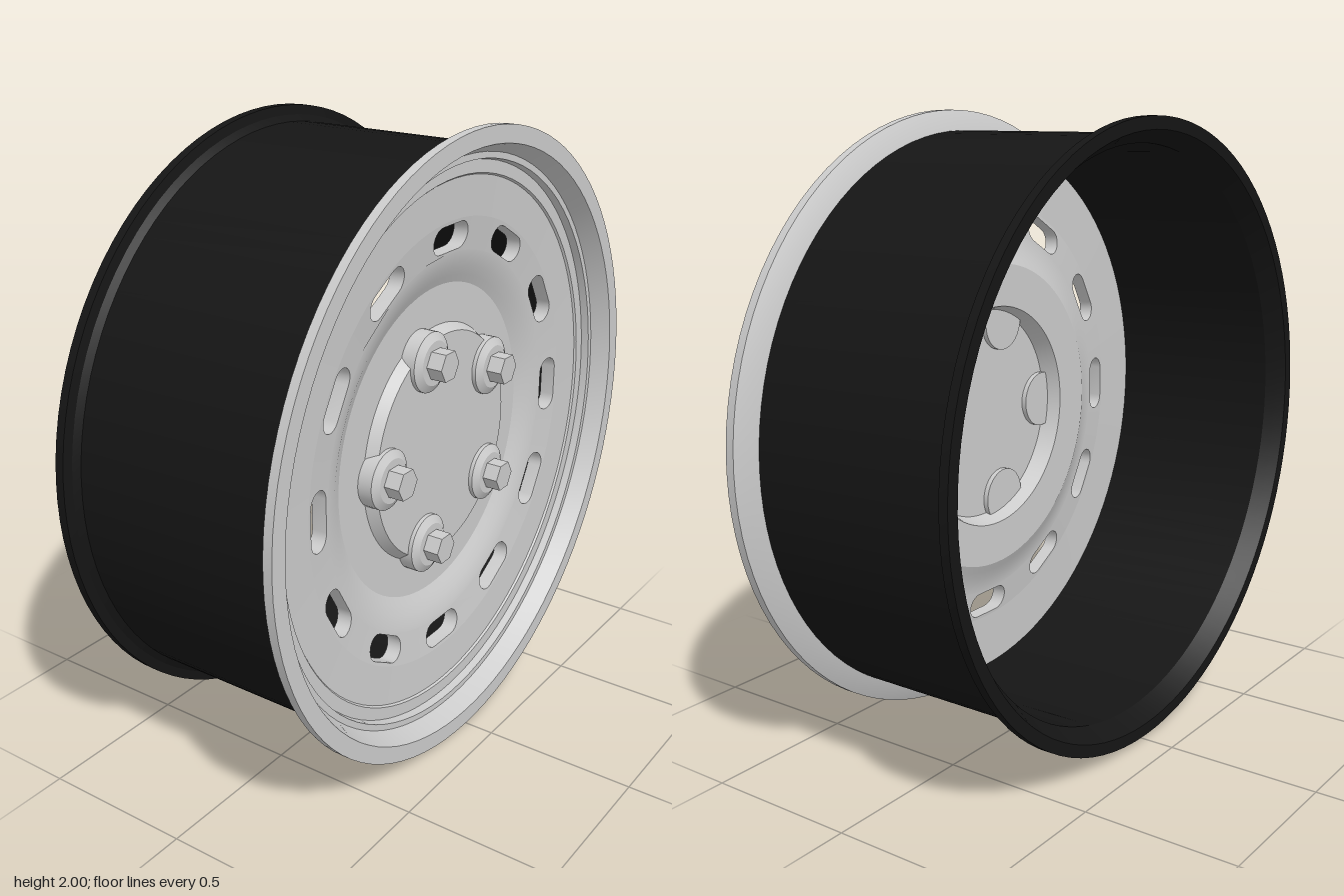
import * as THREE from 'three';
import { toCreasedNormals } from 'three/addons/utils/BufferGeometryUtils.js';

const SEG = 96;
const THICK = 0.05;
const SLOT_IN = [0.615, 0.289];   // [radius, axial] where the slotted band starts
const SLOT_OUT = [0.72, 0.303];   // and where it ends

const grey = new THREE.MeshStandardMaterial({ color: 0xcccccc });
const black = new THREE.MeshStandardMaterial({ color: 0x151515 });

// Revolve a [radius, axial] profile around the x axis; counter-clockwise faces outward
function revolve(profile, segments = SEG, crease = 0.4) {
  const pts = profile.map(([r, a]) => new THREE.Vector2(r, a));
  const geo = new THREE.LatheGeometry(pts, segments);
  geo.rotateZ(-Math.PI / 2);
  return toCreasedNormals(geo, crease);
}

function part(name, geo, mat) {
  const mesh = new THREE.Mesh(geo, mat);
  mesh.name = name;
  return mesh;
}

// Rounded slot lying along the tangent at the given angle
function slotPath(angle, radius, length, width) {
  const h = width / 2, s = length / 2 - h, pts = [];
  for (const [cx, start] of [[s, -Math.PI / 2], [-s, Math.PI / 2]]) {
    for (let i = 0; i <= 10; i++) {
      const t = start + (i / 10) * Math.PI;
      const p = new THREE.Vector2(cx + h * Math.cos(t), radius + h * Math.sin(t));
      pts.push(p.rotateAround(new THREE.Vector2(), angle));
    }
  }
  return new THREE.Path(pts);
}

// Slightly conical ring pierced by twelve slots
function slottedBand() {
  const shape = new THREE.Shape().absarc(0, 0, SLOT_OUT[0], 0, Math.PI * 2);
  shape.holes.push(new THREE.Path().absarc(0, 0, SLOT_IN[0], 0, Math.PI * 2, true));
  for (let i = 0; i < 12; i++) shape.holes.push(slotPath(i * Math.PI / 6, 0.665, 0.19, 0.085));
  const geo = toCreasedNormals(
    new THREE.ExtrudeGeometry(shape, { depth: THICK, bevelEnabled: false, curveSegments: SEG / 2 }), 0.6);
  const slope = (SLOT_OUT[1] - SLOT_IN[1]) / (SLOT_OUT[0] - SLOT_IN[0]);
  const pos = geo.attributes.position, nor = geo.attributes.normal;
  const n = new THREE.Vector3();
  for (let i = 0; i < pos.count; i++) {
    const x = pos.getX(i), y = pos.getY(i), r = Math.hypot(x, y);
    pos.setZ(i, pos.getZ(i) + SLOT_IN[1] - THICK + slope * (r - SLOT_IN[0]));
    const nz = nor.getZ(i);
    if (Math.abs(nz) > 0.9) {
      n.set(-slope * x / r, -slope * y / r, 1).normalize().multiplyScalar(Math.sign(nz));
      nor.setXYZ(i, n.x, n.y, n.z);
    }
  }
  return geo.rotateY(Math.PI / 2);
}

export function createModel() {
  const group = new THREE.Group();
  const wheel = new THREE.Group();
  wheel.name = 'wheel';
  wheel.position.y = 1;
  group.add(wheel);

  // Barrel with its inner flange
  wheel.add(part('barrel', revolve([
    [0.905, 0.33], [0.905, -0.34], [0.925, -0.37], [0.945, -0.4], [0.985, -0.4],
    [0.985, -0.37], [0.955, -0.365], [0.935, -0.35], [0.935, 0.335], [0.905, 0.33],
  ]), black));

  // Outer lip stepping down to the edge of the disc
  wheel.add(part('outerLip', revolve([
    [0.905, 0.33], [0.935, 0.335], [1, 0.37], [1, 0.4], [0.945, 0.4],
    [0.915, 0.34], [0.895, 0.34], [0.89, 0.315], [0.85, 0.315], [0.845, 0.308],
    SLOT_OUT, [SLOT_OUT[0], SLOT_OUT[1] - THICK],
    [0.85, 0.258], [0.905, 0.26], [0.905, 0.33],
  ]), grey));

  wheel.add(part('slottedBand', slottedBand(), grey));

  // Recessed hub with a curved flank and raised centre cap
  const flank = [[0.51, 0.25], [0.535, 0.262], [0.565, 0.276], [0.6, 0.2865], SLOT_IN];
  wheel.add(part('hub', revolve([
    [0, 0.262], [0.35, 0.262], [0.37, 0.2],
    ...flank.map(([r, a]) => [r, a - THICK]),
    ...flank.slice().reverse(),
    [0.385, 0.25], [0.365, 0.285], [0, 0.285],
  ]), grey));

  // Five bolts: chamfered washer and hexagonal head
  const washerGeo = revolve([[0, 0.245], [0.095, 0.245], [0.095, 0.298], [0.07, 0.313], [0, 0.313]], 32);
  const headGeo = revolve([[0, 0.3], [0.05, 0.3], [0.05, 0.365], [0, 0.365]], 6);
  for (let i = 0; i < 5; i++) {
    const a = i * Math.PI * 2 / 5;
    const bolt = new THREE.Group();
    bolt.name = 'bolt' + (i + 1);
    bolt.position.set(0, 0.32 * Math.sin(a), 0.32 * Math.cos(a));
    bolt.add(part('washer', washerGeo, grey), part('hexHead', headGeo, grey));
    wheel.add(bolt);
  }
  return group;
}
